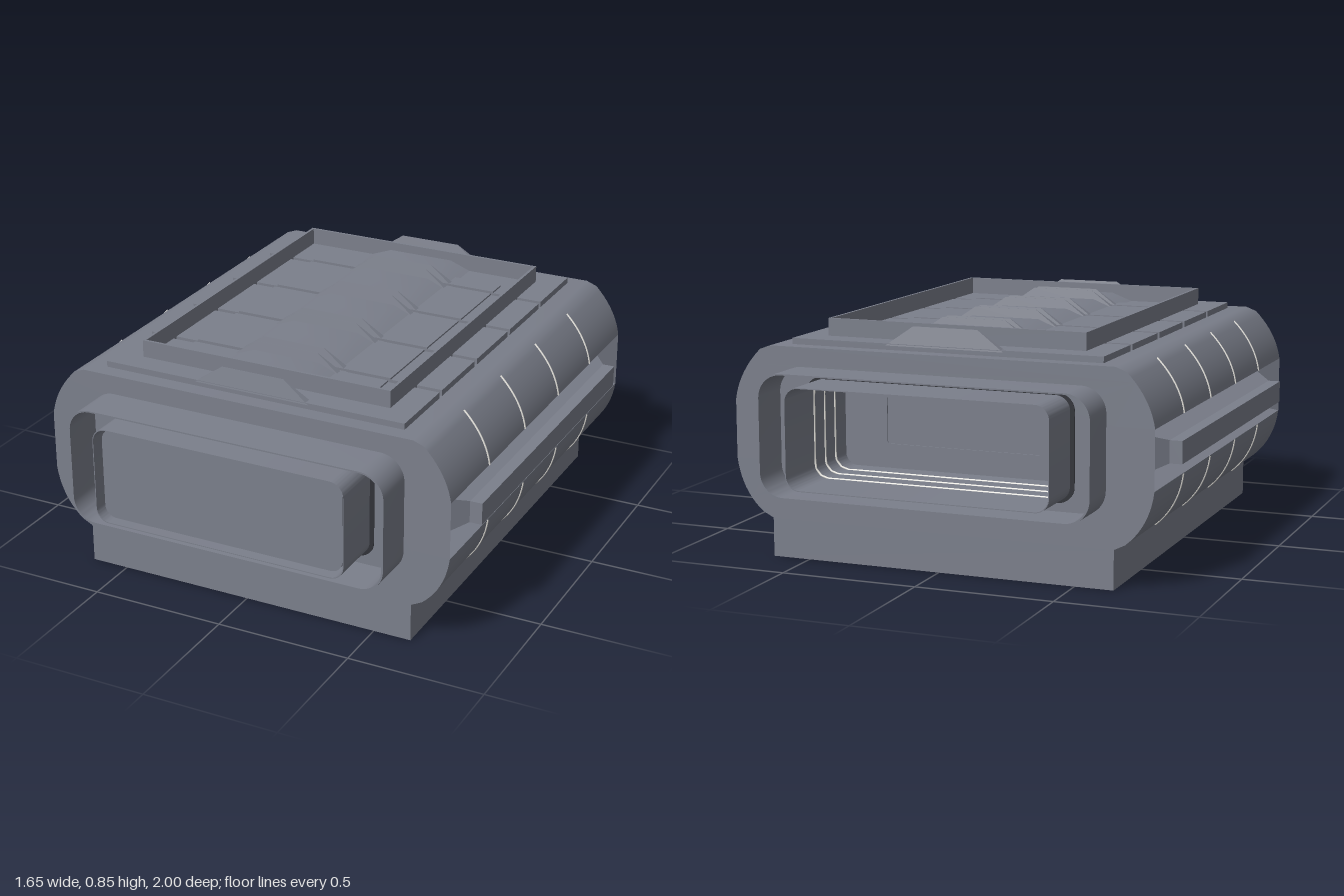
import * as THREE from 'three';
import { toCreasedNormals } from 'three/addons/utils/BufferGeometryUtils.js';

const mat = new THREE.MeshStandardMaterial({ color: 0x7b7f8b });
const thin = new THREE.MeshStandardMaterial({ color: 0x7b7f8b, side: THREE.DoubleSide });
const dark = new THREE.MeshStandardMaterial({ color: 0x303238 });
const light = new THREE.MeshStandardMaterial({ color: 0xe4e2dc });

// rounded rectangle, half width w, from y0 to y1
function roundRect(w, y0, y1, r, Kind = THREE.Shape) {
  const s = new Kind();
  s.moveTo(-w + r, y0);
  s.lineTo(w - r, y0);
  s.absarc(w - r, y0 + r, r, -Math.PI / 2, 0);
  s.lineTo(w, y1 - r);
  s.absarc(w - r, y1 - r, r, 0, Math.PI / 2);
  s.lineTo(-w + r, y1);
  s.absarc(-w + r, y1 - r, r, Math.PI / 2, Math.PI);
  s.lineTo(-w, y0 + r);
  s.absarc(-w + r, y0 + r, r, Math.PI, Math.PI * 1.5);
  return s;
}

function polygon(points) {
  return new THREE.Shape(points.map(([x, y]) => new THREE.Vector2(x, y)));
}

// shape drawn in x-y, spanning z0 to z1
function extrude(shape, z0, z1) {
  const g = new THREE.ExtrudeGeometry(shape, { depth: z1 - z0, bevelEnabled: false, curveSegments: 8 });
  g.translate(0, 0, z0);
  return toCreasedNormals(g, 0.5);
}

function boxGeo(x0, x1, y0, y1, z0, z1) {
  return new THREE.BoxGeometry(x1 - x0, y1 - y0, z1 - z0)
    .translate((x0 + x1) / 2, (y0 + y1) / 2, (z0 + z1) / 2);
}

// skin over rectangles [x, halfZ, y0, y1], closed at the last one
function rectLoft(sections) {
  const pos = [];
  const ring = ([x, z, y0, y1]) => [[x, y0, z], [x, y0, -z], [x, y1, -z], [x, y1, z]];
  const quad = (a, b, c, d) => pos.push(...a, ...b, ...c, ...a, ...c, ...d);
  for (let i = 0; i < sections.length - 1; i++) {
    const a = ring(sections[i]), b = ring(sections[i + 1]);
    for (let k = 0; k < 4; k++) {
      const n = (k + 1) % 4;
      quad(a[k], a[n], b[n], b[k]);
    }
  }
  quad(...ring(sections[sections.length - 1]));
  const g = new THREE.BufferGeometry();
  g.setAttribute('position', new THREE.Float32BufferAttribute(pos, 3));
  g.computeVertexNormals();
  return g;
}

// rounded shoulders of the hull, right-hand half
const shoulders = [
  [[0.68, 0.16], [0.765, 0.23], [0.78, 0.35]],
  [[0.78, 0.56], [0.765, 0.66], [0.68, 0.745]],
].map((p) => new THREE.QuadraticBezierCurve(...p.map(([x, y]) => new THREE.Vector2(x, y))).getPoints(10));

// hull cross-section with shoulders, side notches and the tunnel
function hullShape() {
  const [low, high] = shoulders.map((c) => c.map((p) => [p.x, p.y]));
  const half = [[0.64, 0.14], ...low, [0.64, 0.35], [0.64, 0.56], ...high, [0.64, 0.76]];
  const s = polygon([...half, ...half.map(([x, y]) => [-x, y]).reverse()]);
  s.holes.push(roundRect(0.484, 0.292, 0.653, 0.052, THREE.Path));
  return s;
}

// thin smooth line through 2D points at depth z
function strip(points, z, closed) {
  const curve = new THREE.CatmullRomCurve3(points.map((p) => new THREE.Vector3(p.x, p.y, z)), closed, 'centripetal');
  return new THREE.TubeGeometry(curve, closed ? 80 : 20, 0.004, 28, closed);
}

export function createModel() {
  const root = new THREE.Group();
  const add = (name, geometry, material = mat, parent = root) => {
    const m = new THREE.Mesh(geometry, material);
    m.name = name;
    parent.add(m);
    return m;
  };

  add('base', boxGeo(-0.64, 0.64, 0, 0.14, -0.8, 0.8));
  add('hull', extrude(hullShape(), -0.8, 0.8));

  for (const side of [1, -1]) {
    // recessed channel and raised rail
    const rail = add('sideRail', rectLoft([
      [0.64, 0.8, 0.35, 0.56], [0.78, 0.8, 0.35, 0.56], [0.7, 0.72, 0.38, 0.525],
      [0.78, 0.64, 0.415, 0.495], [0.825, 0.64, 0.415, 0.495],
    ]), thin);
    if (side < 0) rail.rotation.y = Math.PI;
    // pale seam lines over the shoulders
    for (const z of [-0.48, -0.16, 0.16, 0.48]) {
      for (const arc of shoulders) {
        add('seamLine', strip(arc.map((p) => new THREE.Vector2(p.x * side, p.y)), z, false), light);
      }
    }
  }

  // thin collar and dark gasket at each end
  const collar = roundRect(0.61, 0.25, 0.69, 0.09);
  collar.holes.push(roundRect(0.603, 0.255, 0.685, 0.085, THREE.Path));
  const gasket = roundRect(0.5, 0.285, 0.66, 0.06);
  gasket.holes.push(roundRect(0.483, 0.293, 0.652, 0.051, THREE.Path));
  for (const end of [1, -1]) {
    const group = new THREE.Group();
    group.name = end > 0 ? 'frontPort' : 'backPort';
    add('collar', extrude(collar, 0.8, 0.96), mat, group);
    add('gasket', extrude(gasket, 0.79, 0.803), dark, group);
    if (end < 0) group.rotation.y = Math.PI;
    root.add(group);
  }

  // tunnel sleeve that sticks out of both ports, with pale rings at the back
  const sleeve = roundRect(0.484, 0.292, 0.653, 0.052);
  sleeve.holes.push(roundRect(0.481, 0.295, 0.65, 0.05, THREE.Path));
  add('tunnelSleeve', extrude(sleeve, -1, 1));
  const ringPath = roundRect(0.481, 0.295, 0.65, 0.05).getSpacedPoints(64).slice(0, -1);
  for (const z of [-0.78, -0.7, -0.62]) add('tunnelRing', strip(ringPath, z, true), light);

  // closed front door, and inner door deep in the back port
  const door = roundRect(0.465, 0.302, 0.642, 0.045);
  add('frontDoor', extrude(door, 0.82, 0.97));
  const inner = roundRect(0.465, 0.302, 0.642, 0.045);
  inner.holes.push(roundRect(0.3, 0.39, 0.56, 0.01, THREE.Path));
  add('innerDoorFrame', extrude(inner, -0.565, -0.56));
  add('innerDoor', extrude(door, -0.56, -0.54));

  // roof slabs, each with a centre hump and a leaning fin at both ends
  const slab = polygon([[-0.58, 0.755], [0.58, 0.755], [0.58, 0.782], [-0.58, 0.782]]);
  const hump = polygon([[-0.21, 0.77], [0.21, 0.77], [0.21, 0.782], [0.13, 0.812], [-0.13, 0.812], [-0.21, 0.782]]);
  const fin = polygon([[-0.22, 0.775], [0.22, 0.775], [0.12, 0.845], [-0.12, 0.845]]);
  for (let i = -2; i <= 2; i++) {
    const z = i * 0.301 - 0.002;
    add('roofSlab', extrude(slab, z - 0.14, z + 0.14));
    // shallow step and hump on the slab, inside the frame
    const z0 = Math.max(z - 0.14, -0.54), z1 = Math.min(z + 0.14, 0.54);
    add('roofStep', boxGeo(-0.385, 0.385, 0.77, 0.788, z0, z1));
    add('roofHump', extrude(hump, Math.max(z - 0.128, -0.64), Math.min(z + 0.128, 0.64)));
    for (const end of [1, -1]) {
      const g = extrude(fin, 0, 0.03);
      const p = g.attributes.position;
      // both faces lean together towards the top
      for (let k = 0; k < p.count; k++) {
        const t = (p.getY(k) - 0.775) / 0.07;
        p.setZ(k, p.getZ(k) > 0.01 ? 0.03 - 0.014 * t : 0.014 * t);
      }
      g.computeVertexNormals();
      const m = add('roofFin', g);
      m.position.z = z + end * 0.111;
      if (end < 0) m.rotation.y = Math.PI;
    }
  }

  // thin upright frame around the roof
  for (const side of [1, -1]) {
    add('roofFrameSide', boxGeo(side * 0.48 - 0.005, side * 0.48 + 0.005, 0.76, 0.845, -0.65, 0.65));
    add('roofFrameEnd', boxGeo(-0.48, 0.48, 0.76, 0.845, side * 0.645 - 0.005, side * 0.645 + 0.005));
  }
  return root;
}
